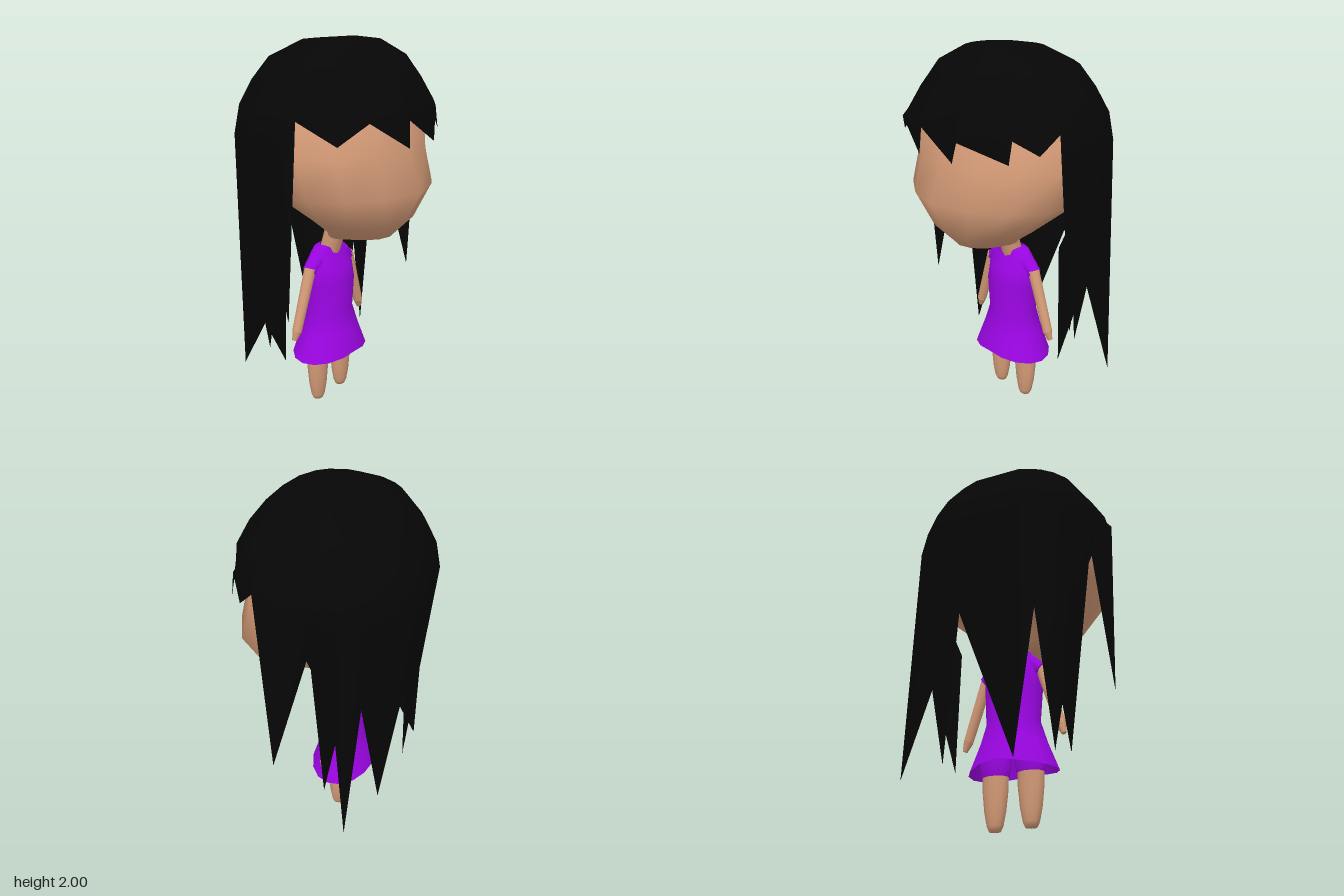
import * as THREE from 'three';
import { mergeVertices } from 'three/addons/utils/BufferGeometryUtils.js';

const mat = (name, color) => Object.assign(new THREE.MeshStandardMaterial({ color, side: THREE.DoubleSide }), { name });

// Skin over closed rows of points, listed from bottom to top, smooth shaded
function skinRows(rows) {
  const n = rows[0].length, index = [];
  for (let i = 0; i < rows.length - 1; i++) {
    for (let j = 0; j < n; j++) {
      const a = i * n + j, b = i * n + (j + 1) % n;
      index.push(a, b, b + n, a, b + n, a + n);
    }
  }
  let geo = new THREE.BufferGeometry();
  geo.setAttribute('position', new THREE.Float32BufferAttribute(rows.flat(2), 3));
  geo.setIndex(index);
  geo = mergeVertices(geo, 1e-5);
  geo.computeVertexNormals();
  return geo;
}

// Oval rows from [y, half width, front z, back z]
function ovalRows(sections, sides, cx = 0) {
  return sections.map(([y, rx, zf, zb]) => Array.from({ length: sides }, (_, j) => {
    const t = j / sides * Math.PI * 2;
    return [cx + rx * Math.sin(t), y, (zf + zb) / 2 + (zf - zb) / 2 * Math.cos(t)];
  }));
}

export function createModel() {
  const model = new THREE.Group();
  const skin = mat('skin', 0xd69c78), purple = mat('purple cloth', 0x9a05e2), black = mat('black hair', 0x060606);
  const add = (name, geo, material) => {
    const mesh = new THREE.Mesh(geo, material);
    mesh.name = name;
    model.add(mesh);
    return mesh;
  };
  // Tapered limb between two points
  const limb = (name, from, to, r0, r1, material) => {
    const a = new THREE.Vector3(...from), b = new THREE.Vector3(...to), d = b.clone().sub(a);
    const mesh = add(name, new THREE.CylinderGeometry(r1, r0, d.length(), 10), material);
    mesh.position.copy(a).add(b).multiplyScalar(0.5);
    mesh.quaternion.setFromUnitVectors(new THREE.Vector3(0, 1, 0), d.normalize());
  };
  const bodyX = -0.015, bodyZ = -0.055;

  // Head: wide cheeks, wedge jaw and a forward point in the middle of the face
  const headRows = ovalRows([
    [0.94, 0, 0, 0], [0.965, 0.09, 0.12, -0.04], [1.01, 0.16, 0.33, -0.05], [1.1, 0.29, 0.415, -0.11],
    [1.27, 0.49, 0.48, -0.3], [1.45, 0.495, 0.435, -0.39], [1.62, 0.48, 0.425, -0.4],
    [1.8, 0.35, 0.31, -0.3], [1.9, 0, 0, 0],
  ], 14);
  headRows[4][0][2] = 0.505;
  add('head', skinRows(headRows), skin);
  limb('neck', [bodyX, 0.84, bodyZ], [bodyX, 1.02, 0], 0.055, 0.055, skin);

  // Hair: lower edge of tips and notches, going round from the front to the left
  const edge = [
    [0.17, 1.6, 0.47], [0.4, 1.52, 0.355], [0.38, 1.64, 0.35], [0.49, 1.56, 0.25], [0.525, 1.65, 0.16],
    [0.555, 0.65, 0.09], [0.51, 1.36, -0.1], [0.3, 0.97, -0.085], [0.32, 0.32, -0.08], [0.4, 0.78, -0.19],
    [0.5, 0.26, -0.29], [0.38, 1.05, -0.32], [0.19, 0.28, -0.35], [0.07, 1.02, -0.42], [-0.2, 0.26, -0.34],
    [-0.33, 0.97, -0.36], [-0.41, 0.26, -0.33], [-0.38, 0.52, -0.2], [-0.355, 0.32, -0.08], [-0.33, 0.97, -0.085],
    [-0.51, 1.34, -0.08], [-0.52, 0.65, 0.09], [-0.525, 1.65, 0.16], [-0.44, 1.54, 0.33], [-0.32, 1.64, 0.42],
    [-0.09, 1.5, 0.49], [-0.08, 1.63, 0.48], [0.15, 1.5, 0.48],
  ];
  const dome = ([y, rx, zf, zb, long]) => edge.map(p => {
    if (long && p[1] > 1.45) return p;
    const t = Math.atan2(p[0], p[2]), c = Math.cos(t);
    return [rx * Math.sin(t), y, c * (c > 0 ? zf : -zb)];
  });
  add('hair', skinRows([
    edge,
    ...[[1.53, 0.555, 0.49, -0.505, true], [1.67, 0.53, 0.485, -0.475], [1.79, 0.45, 0.42, -0.42],
      [1.9, 0.38, 0.33, -0.32], [1.98, 0.21, 0.22, -0.16]].map(dome),
    edge.map(() => [-0.015, 2, 0.11]),
  ]), black);

  // Dress with a flared skirt, its hem dipping at the sides
  const dressRows = ovalRows([
    [0.31, 0.24, 0.13, -0.23], [0.42, 0.18, 0.095, -0.195], [0.53, 0.145, 0.065, -0.17],
    [0.7, 0.158, 0.07, -0.165], [0.79, 0.162, 0.045, -0.15], [0.86, 0.135, 0.005, -0.125],
    [0.9, 0.105, -0.005, -0.11], [0.905, 0.055, -0.01, -0.1],
  ], 16, bodyX);
  dressRows[0].forEach(p => { p[1] -= 0.035 * Math.abs(p[0] - bodyX) / 0.24; });
  add('dress', skinRows(dressRows), purple);

  for (const [side, s] of [['left', 1], ['right', -1]]) {
    // Sleeve, arm and hand
    limb(side + 'Sleeve', [bodyX + s * 0.1, 0.835, bodyZ], [bodyX + s * 0.172, 0.785, bodyZ], 0.048, 0.036, purple);
    limb(side + 'Arm', [bodyX + s * 0.165, 0.805, -0.05], [bodyX + s * 0.275, 0.48, -0.055], 0.032, 0.026, skin);
    limb(side + 'Hand', [bodyX + s * 0.275, 0.48, -0.055], [bodyX + s * 0.292, 0.43, -0.06], 0.026, 0.013, skin);

    // Tapered leg and the short trouser leg above it
    const x = bodyX + s * 0.1025;
    add(side + 'Leg', skinRows(ovalRows([
      [0, 0, bodyZ, bodyZ], [0.005, 0.03, -0.03, -0.08], [0.03, 0.042, -0.02, -0.09], [0.1, 0.057, -0.01, -0.1],
      [0.2, 0.068, -0.003, -0.107], [0.3, 0.07, 0, -0.11],
    ], 12, x)), skin);
    add(side + 'Shorts', skinRows(ovalRows([
      [0.265, 0.073, 0.003, -0.113], [0.32, 0.082, 0.012, -0.125], [0.45, 0.06, 0.02, -0.13],
    ], 12, x)), purple);
  }
  return model;
}
